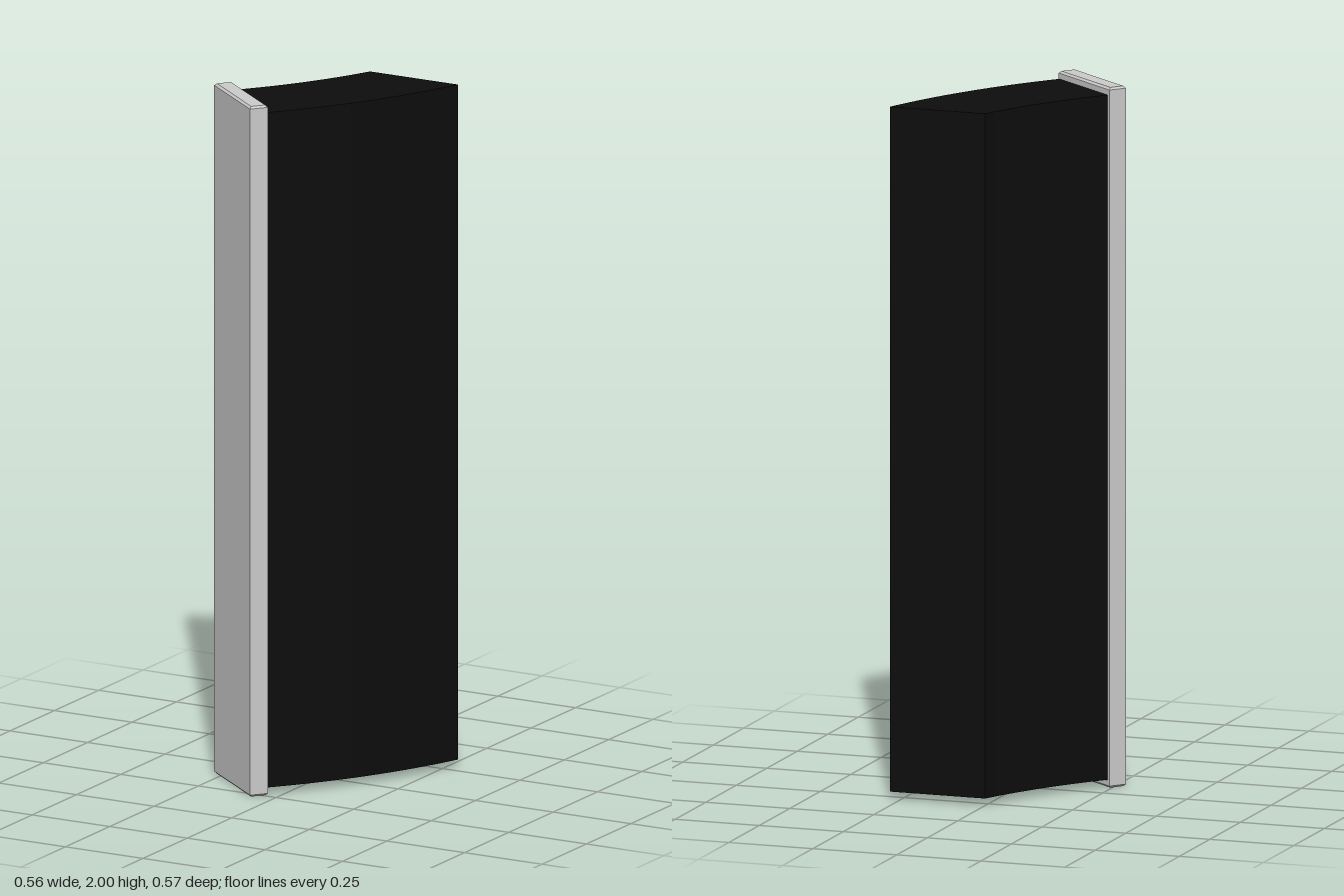
import * as THREE from 'three';

// Extrude a plan outline (drawn with y = -z) upwards from a given height
function extrudeUp(shape, bottom, height, options = {}) {
  const geometry = new THREE.ExtrudeGeometry(shape, { depth: height, bevelEnabled: false, ...options });
  geometry.rotateX(-Math.PI / 2);
  geometry.translate(0, bottom, 0);
  return geometry;
}

export function createModel() {
  const group = new THREE.Group();

  // Curved dark body, bounded by two roughly concentric arcs
  const plan = new THREE.Shape();
  plan.moveTo(-0.003, 0.285);
  plan.quadraticCurveTo(-0.091, 0.087, -0.24, -0.079);
  plan.lineTo(-0.038, -0.243);
  plan.quadraticCurveTo(0.172, -0.008, 0.28, 0.285);
  plan.closePath();
  const body = new THREE.Mesh(
    extrudeUp(plan, 0.022, 1.956, { curveSegments: 24 }),
    new THREE.MeshStandardMaterial({ color: 0x0d0d0d })
  );
  body.name = 'curvedBody';
  group.add(body);

  // Upright end plate with chamfered top and bottom rims
  const chamfer = 0.006;
  const halfWidth = 0.138 - chamfer;
  const halfDepth = 0.027 - chamfer;
  const rectangle = new THREE.Shape([
    new THREE.Vector2(-halfWidth, -halfDepth),
    new THREE.Vector2(halfWidth, -halfDepth),
    new THREE.Vector2(halfWidth, halfDepth),
    new THREE.Vector2(-halfWidth, halfDepth),
  ]);
  const plate = new THREE.Mesh(
    extrudeUp(rectangle, chamfer, 2 - 2 * chamfer, {
      bevelEnabled: true, bevelSize: chamfer, bevelThickness: chamfer, bevelSegments: 1,
    }),
    new THREE.MeshStandardMaterial({ color: 0xcccccc })
  );
  plate.name = 'endPlate';
  plate.position.set(-0.155, 0, 0.176);
  plate.rotation.y = -0.68;
  group.add(plate);

  return group;
}
